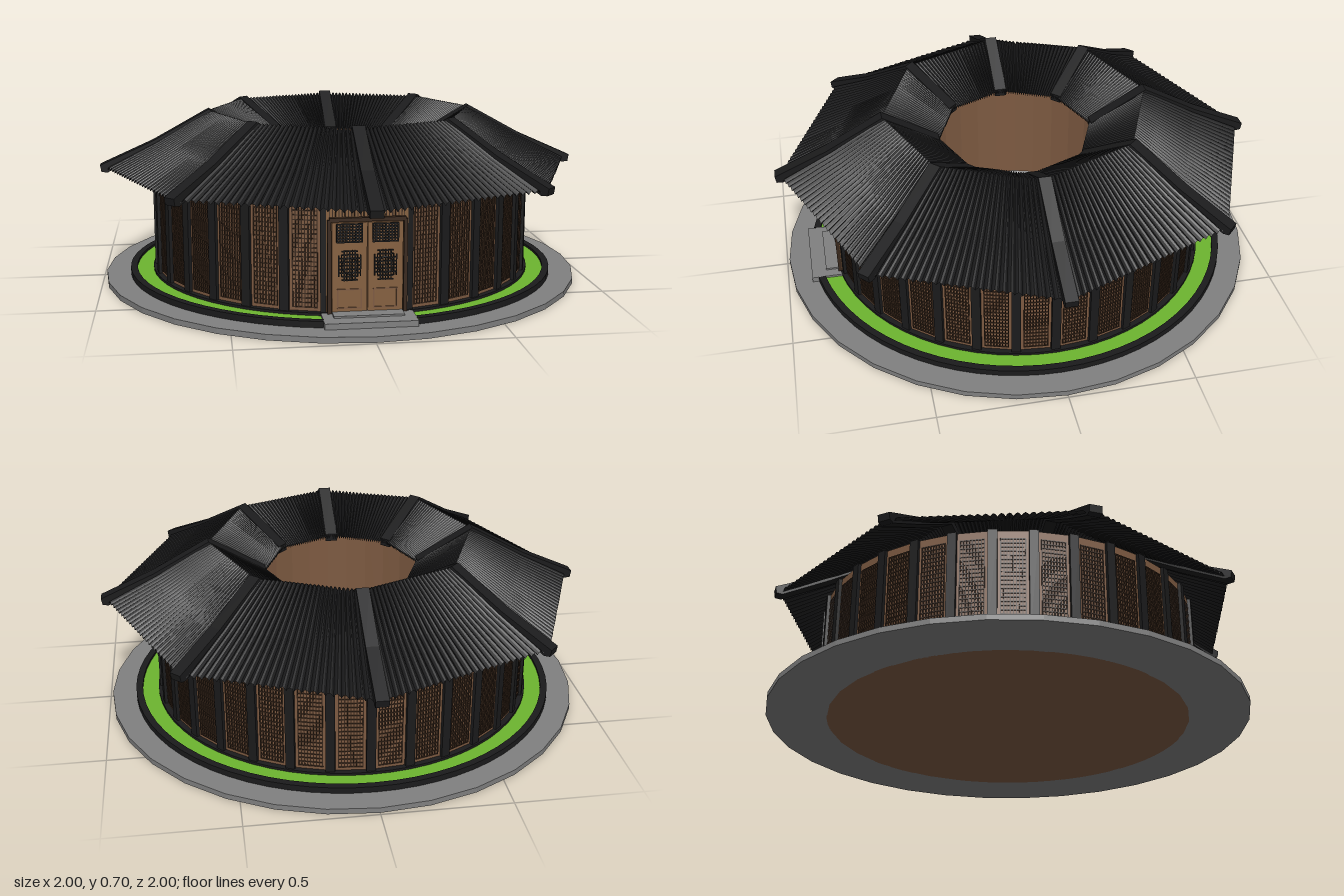
import * as THREE from 'three';
import { mergeGeometries } from 'three/addons/utils/BufferGeometryUtils.js';

const mat = (color) => new THREE.MeshStandardMaterial({ color, flatShading: true, side: THREE.DoubleSide });
const BLACK = mat(0x1b1b1c), WOOD = mat(0x85603f), PANEL = mat(0x7d5a41), LATTICE = mat(0x38271b);
const STONE = mat(0x808080), PALE = mat(0xb8b8b8), GRASS = mat(0x6db52f), FLOOR = mat(0x7f5b45);

// Wall radius, number of wall bays, and roof profile as [radius, height] at the corners
const WALL = 0.775, BAYS = 32, SECTORS = 8, TILES = 26;
const ROOF = [[0.98, 0.455], [0.78, 0.553], [0.55, 0.68], [0.32, 0.545]];

export function createModel() {
  const model = new THREE.Group();
  const add = (name, geometry, material) => {
    const mesh = new THREE.Mesh(geometry, material);
    mesh.name = name;
    model.add(mesh);
    return mesh;
  };
  const box = (w, h, d, x, y, z) => new THREE.BoxGeometry(w, h, d).translate(x, y, z);

  // Rectangular ring swept about y; angles start at +z
  const ring = (r0, r1, y0, y1, start = 0, sweep = Math.PI * 2, sides = 64) => {
    const profile = [[r0, y0], [r1, y0], [r1, y1], [r0, y1], [r0, y0]].map((p) => new THREE.Vector2(...p));
    return new THREE.LatheGeometry(profile, sides, start, sweep);
  };

  // Ground: stone apron, timber floor, lawn and its kerbs
  add('stoneBase', ring(0.745, 0.99, 0, 0.022, 0, Math.PI * 2, 32), STONE);
  add('timberFloor', new THREE.CylinderGeometry(0.746, 0.746, 0.035, 64).translate(0, 0.0175, 0), FLOOR);
  add('lawn', ring(0.745, 0.87, 0.02, 0.036), GRASS);
  const gap = 0.195;
  add('outerKerb', ring(0.862, 0.89, 0.02, 0.046, gap, Math.PI * 2 - 2 * gap), BLACK);
  add('wallFoot', ring(0.755, 0.795, 0.02, 0.046), BLACK);
  add('doorStep', mergeGeometries([
    box(0.34, 0.022, 0.15, 0, 0.034, 0.825),
    box(0.26, 0.01, 0.08, 0, 0.047, 0.8),
  ]), STONE);

  // Outer wall: facets between posts
  add('outerWall', new THREE.CylinderGeometry(WALL, WALL, 0.45, BAYS, 1, true).translate(0, 0.25, 0), PANEL);
  const step = (Math.PI * 2) / BAYS;
  const posts = [], bars = [];
  const facet = WALL * Math.cos(step / 2);
  for (let i = 1; i < BAYS; i++) {
    posts.push(box(0.036, 0.45, 0.024, 0, 0.25, WALL).rotateY(i * step));
    if (i === BAYS - 1) continue;
    // Lattice of thin upright and level bars in each bay
    const a = (i + 0.5) * step;
    for (let k = -4; k <= 4; k++) bars.push(box(0.004, 0.38, 0.008, k * 0.0115, 0.25, facet).rotateY(a));
    for (let k = 0; k <= 22; k++) bars.push(box(0.096, 0.004, 0.007, 0, 0.06 + k * 0.0173, facet).rotateY(a));
  }
  add('wallPosts', mergeGeometries(posts), BLACK);
  add('wallLattice', mergeGeometries(bars), LATTICE);

  // Double door with frame, grilles and lower panels
  add('doorLeaves', mergeGeometries([
    box(0.3, 0.4, 0.02, 0, 0.25, 0.765),
    box(0.129, 0.34, 0.02, -0.066, 0.215, 0.775),
    box(0.129, 0.34, 0.02, 0.066, 0.215, 0.775),
  ]), WOOD);
  add('doorFrame', mergeGeometries([
    box(0.28, 0.014, 0.034, 0, 0.396, 0.775),
    box(0.014, 0.35, 0.034, -0.14, 0.22, 0.772),
    box(0.014, 0.35, 0.034, 0.14, 0.22, 0.772),
  ]), LATTICE);
  const grilles = [], insets = [], overBars = [];
  for (const s of [-1, 1]) {
    const x = s * 0.066;
    // Upper square grille
    for (let k = 0; k <= 8; k++) grilles.push(box(0.005, 0.066, 0.008, x - 0.046 + k * 0.0115, 0.346, 0.787));
    for (let k = 0; k <= 6; k++) grilles.push(box(0.096, 0.005, 0.008, x, 0.313 + k * 0.011, 0.787));
    // Middle ornamental grille with clipped corners
    for (let k = -4; k <= 4; k++) {
      const clip = Math.abs(k) > 2 ? 0.7 : 1;
      grilles.push(box(0.004, 0.114 * clip, 0.008, x + k * 0.01, 0.225, 0.787));
      grilles.push(box(0.084 * clip, 0.004, 0.008, x, 0.225 + k * 0.0135, 0.787));
    }
    grilles.push(new THREE.TorusGeometry(0.03, 0.003, 4, 16).translate(x, 0.225, 0.789));
    // Lower panel moulding
    for (const t of [-1, 1]) {
      insets.push(box(0.09, 0.005, 0.006, x, 0.1 + t * 0.035, 0.786));
      insets.push(box(0.005, 0.07, 0.006, x + t * 0.043, 0.1, 0.786));
    }
  }
  for (let k = -11; k <= 11; k++) overBars.push(box(0.004, 0.05, 0.006, k * 0.0115, 0.43, 0.776));
  add('doorGrilles', mergeGeometries(grilles), BLACK);
  add('doorMouldings', mergeGeometries(insets), PANEL);
  add('transomLattice', mergeGeometries(overBars), LATTICE);

  // Tiled roof: rippled sectors fanning between the hips
  const corner = (i) => {
    const a = (i * Math.PI * 2) / SECTORS;
    return new THREE.Vector2(Math.sin(a), Math.cos(a));
  };
  const tiles = [], perTile = 4, columns = TILES * perTile;
  for (let s = 0; s < SECTORS; s++) {
    const g = new THREE.PlaneGeometry(1, 1, columns, ROOF.length - 1);
    const p = g.attributes.position;
    for (let v = 0; v < p.count; v++) {
      const col = v % (columns + 1);
      const [r, y] = ROOF[ROOF.length - 1 - Math.floor(v / (columns + 1))];
      const d = corner(s).lerp(corner(s + 1), col / columns).multiplyScalar(r);
      const ripple = Math.sin(((col % perTile) / perTile) * Math.PI);
      p.setXYZ(v, d.x, y + 0.014 * ripple, d.y);
    }
    tiles.push(g);
  }
  const roof = mergeGeometries(tiles);
  roof.computeVertexNormals();
  add('roofTiles', roof, BLACK);

  // Hip ridges: a bent bar following the roof profile at each corner
  const bar = new THREE.Shape();
  const top = ROOF.map(([r, y]) => [r, y + 0.02]);
  bar.moveTo(0.995, 0.447);
  for (const [r, y] of top) bar.lineTo(r === 0.98 ? 1.0 : r, y);
  for (const [r, y] of [...ROOF].reverse().slice(0, 3)) bar.lineTo(r, y - 0.012);
  bar.lineTo(0.97, 0.444);
  const hips = [];
  for (let i = 0; i < SECTORS; i++) {
    hips.push(new THREE.ExtrudeGeometry(bar, { depth: 0.05, bevelEnabled: false })
      .translate(0, 0, -0.025).rotateY((i * Math.PI * 2) / SECTORS));
  }
  add('hipRidges', mergeGeometries(hips), BLACK);

  // Courtyard: inner wall, paving, low circular wall, passages and round platform
  add('innerWall', new THREE.CylinderGeometry(0.44, 0.44, 0.57, 32, 1, true).translate(0, 0.315, 0), PANEL);
  add('courtyardPaving', ring(0.2, 0.44, 0.03, 0.04), PALE);
  add('courtyardPlatform', new THREE.CylinderGeometry(0.215, 0.215, 0.02, 48).translate(0, 0.045, 0), FLOOR);
  const open = 0.27;
  const lowWalls = [0, Math.PI].map((a) => ring(0.21, 0.24, 0.035, 0.09, a + open, Math.PI - 2 * open, 28));
  const kerbs = [], paths = [];
  for (const a of [0, Math.PI]) {
    paths.push(box(0.12, 0.02, 0.25, 0, 0.044, 0.315).rotateY(a));
    for (const s of [-1, 1]) kerbs.push(box(0.022, 0.055, 0.075, s * 0.066, 0.0625, 0.26).rotateY(a));
  }
  add('courtyardPassages', mergeGeometries(paths), FLOOR);
  add('courtyardLowWalls', mergeGeometries(lowWalls), BLACK);
  add('passageKerbs', mergeGeometries(kerbs), BLACK);

  // Tiered round stone in the middle
  const tiers = [[0, 0.05], [0.105, 0.05], [0.105, 0.07], [0.085, 0.075], [0.06, 0.09], [0.055, 0.1], [0.03, 0.11], [0, 0.115]];
  add('centreStone', new THREE.LatheGeometry(tiers.map((p) => new THREE.Vector2(...p)), 32), PALE);

  return model;
}
